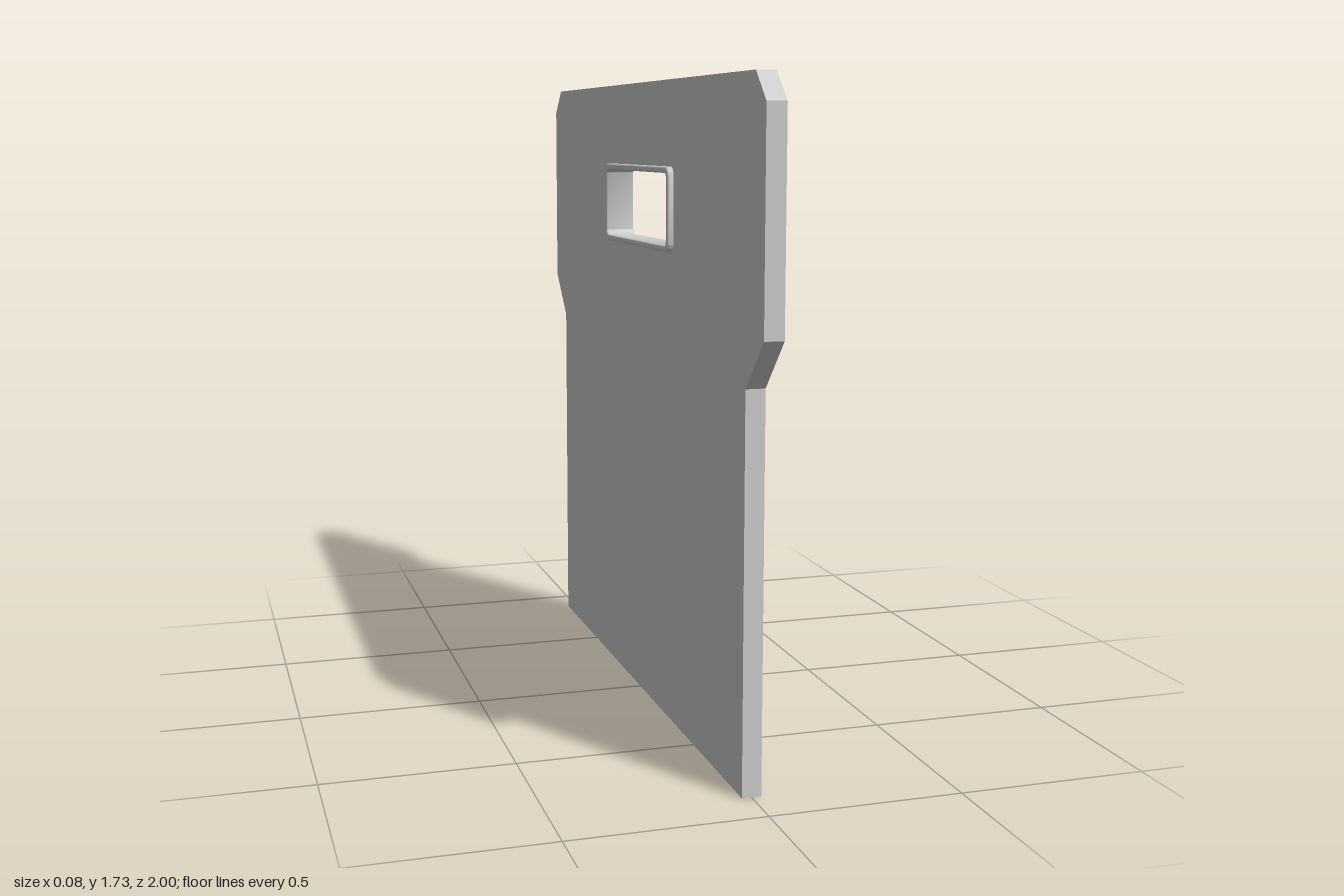
import * as THREE from 'three';
import { toCreasedNormals } from 'three/addons/utils/BufferGeometryUtils.js';

const HANDLE_Y = 1.393;

// Rounded rectangle centred on the handle opening
function roundedRect(target, w, h, r) {
  const a = w / 2 - r, b = h / 2 - r;
  target.absarc(a, HANDLE_Y + b, r, 0, Math.PI / 2);
  target.absarc(-a, HANDLE_Y + b, r, Math.PI / 2, Math.PI);
  target.absarc(-a, HANDLE_Y - b, r, Math.PI, Math.PI * 1.5);
  target.absarc(a, HANDLE_Y - b, r, Math.PI * 1.5, Math.PI * 2);
  target.closePath();
  return target;
}

// Extrude a side profile, centred across the thickness (x axis)
function extrudeAcross(shape, thickness, bevel = 0) {
  const geometry = new THREE.ExtrudeGeometry(shape, {
    depth: thickness - 2 * bevel,
    curveSegments: 6,
    bevelEnabled: bevel > 0,
    bevelThickness: bevel,
    bevelSize: bevel,
    bevelOffset: -bevel,
    bevelSegments: 3,
  });
  geometry.translate(0, 0, -thickness / 2 + bevel);
  geometry.rotateY(Math.PI / 2);
  return geometry;
}

export function createModel() {
  const group = new THREE.Group();
  group.name = 'dividerPanel';
  const material = new THREE.MeshStandardMaterial({ color: 0xcccccc });

  // Flat board with wide shoulders and clipped top corners
  const half = [[0.88, 0], [0.88, 1.0], [1, 1.125], [1, 1.66], [0.93, 1.73]];
  const outline = [...half, ...half.map(([z, y]) => [-z, y]).reverse()];
  const boardShape = new THREE.Shape(outline.map(([z, y]) => new THREE.Vector2(z, y)));
  boardShape.holes.push(roundedRect(new THREE.Path(), 0.61, 0.204, 0.02));
  const board = new THREE.Mesh(extrudeAcross(boardShape, 0.05), material);
  board.name = 'board';
  group.add(board);

  // Rim lining the handle opening, standing proud on both faces
  const rimShape = roundedRect(new THREE.Shape(), 0.63, 0.224, 0.025);
  rimShape.holes.push(roundedRect(new THREE.Path(), 0.594, 0.19, 0.016));
  const rim = new THREE.Mesh(toCreasedNormals(extrudeAcross(rimShape, 0.084, 0.006), 0.7), material);
  rim.name = 'handleRim';
  group.add(rim);

  return group;
}
